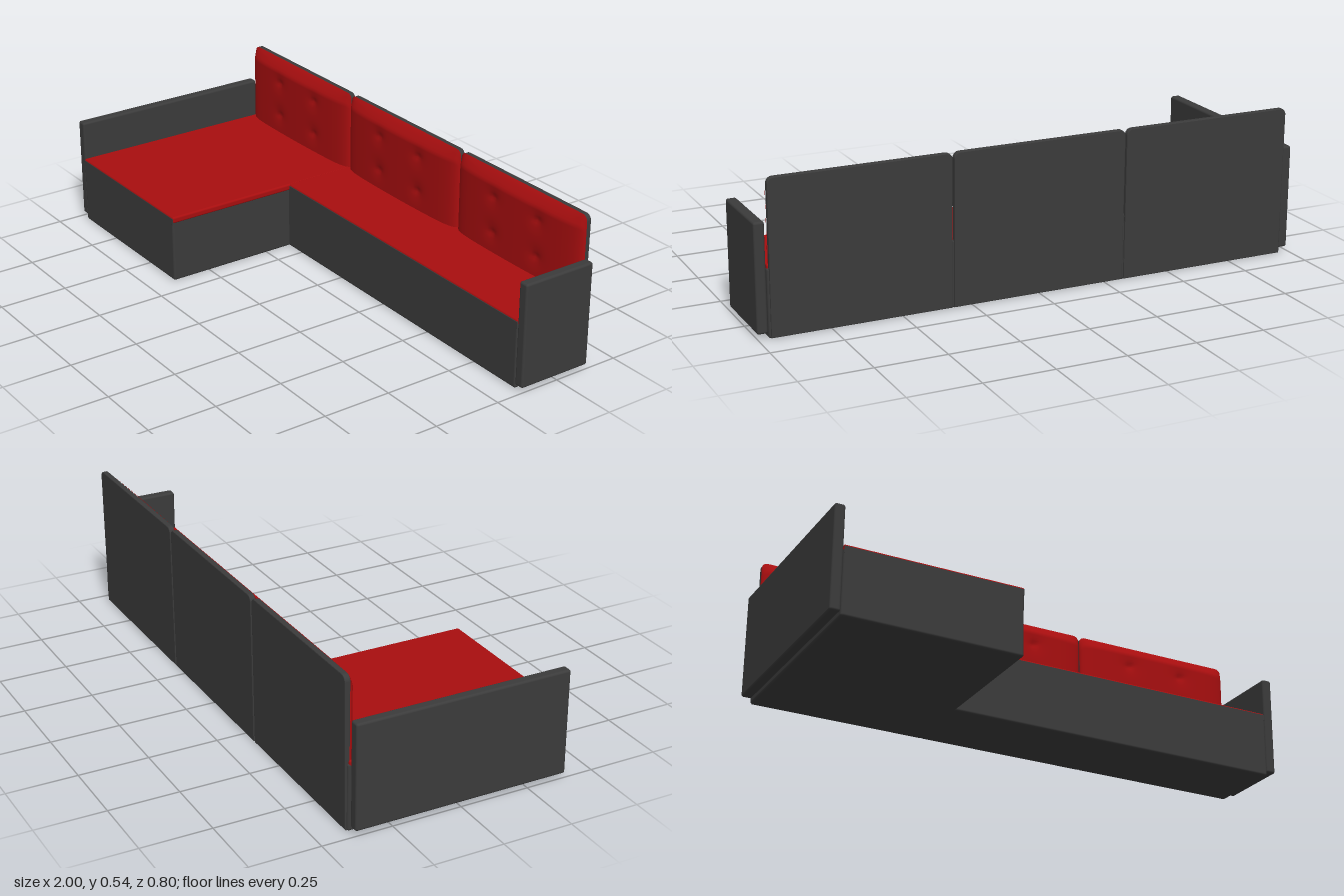
import * as THREE from 'three';
import { RoundedBoxGeometry } from 'three/addons/geometries/RoundedBoxGeometry.js';

const grey = new THREE.MeshStandardMaterial({ name: 'greyFabric', color: 0x3b3b3b });
const red = new THREE.MeshStandardMaterial({ name: 'redFabric', color: 0xa80e0f });

const PANEL_W = 0.64, BACK_TOP = 0.54, SEAT_TOP = 0.25, CORNER = 0.022;

// Rounded block given by its min and max corners
function block(name, min, max, radius, material) {
  const s = max.map((v, i) => v - min[i]);
  const mesh = new THREE.Mesh(new RoundedBoxGeometry(s[0], s[1], s[2], 3, radius), material);
  mesh.position.set(...max.map((v, i) => (v + min[i]) / 2));
  mesh.name = name;
  return mesh;
}

// Upright back board with rounded top corners
function backBoard() {
  const w = PANEL_W / 2 - 0.003, b = 0.003;
  const x = w - b, top = BACK_TOP - b, r = CORNER - b;
  const s = new THREE.Shape();
  s.moveTo(-x, 0.005);
  s.lineTo(x, 0.005);
  s.lineTo(x, top - r);
  s.absarc(x - r, top - r, r, 0, Math.PI / 2, false);
  s.absarc(-x + r, top - r, r, Math.PI / 2, Math.PI, false);
  s.closePath();
  const g = new THREE.ExtrudeGeometry(s, {
    depth: 0.014, bevelThickness: b, bevelSize: b, bevelSegments: 2, curveSegments: 8,
  });
  g.translate(0, 0, -0.397);
  // the lower part leans in slightly
  const p = g.attributes.position;
  for (let i = 0; i < p.count; i++) {
    if (p.getY(i) < 0.1 && p.getZ(i) < -0.39) p.setZ(i, p.getZ(i) + 0.005);
  }
  g.computeVertexNormals();
  const mesh = new THREE.Mesh(g, grey);
  mesh.name = 'backBoard';
  return mesh;
}

// Padded back cushion: a sheet swollen forwards and pinched at four buttons
function backCushion() {
  const w = PANEL_W - 0.004, bottom = SEAT_TOP - 0.01;
  const g = new THREE.PlaneGeometry(2, 1, 64, 36);
  const p = g.attributes.position;
  const buttons = [];
  for (const bx of [-0.113, 0.113]) for (const by of [0.32, 0.452]) buttons.push([bx, by]);
  for (let i = 0; i < p.count; i++) {
    const u = Math.sin(p.getX(i) * Math.PI / 2); // finer towards the sides
    const x = u * w / 2;
    const cx = Math.max(0, Math.abs(x) - (w / 2 - CORNER));
    const top = BACK_TOP - CORNER + Math.sqrt(Math.max(0, CORNER * CORNER - cx * cx));
    const y = bottom + (p.getY(i) + 0.5) * (top - bottom);
    const side = Math.sqrt(Math.max(0, 1 - Math.pow(Math.abs(u), 10))) * (1 - 0.25 * u * u);
    const crown = Math.pow(Math.min(1, (top - y) / 0.04), 0.8);
    let depth = 0.033 * side * crown;
    for (const [bx, by] of buttons) {
      const d2 = (x - bx) ** 2 + (y - by) ** 2;
      depth -= 0.007 * Math.exp(-d2 / 0.00012) + 0.005 * Math.exp(-d2 / 0.0012);
    }
    p.setXYZ(i, x, y, -0.381 + Math.max(0, depth));
  }
  g.computeVertexNormals();
  const mesh = new THREE.Mesh(g, red);
  mesh.name = 'backCushion';
  return mesh;
}

// Small tufting button
function button(x, y) {
  const mesh = new THREE.Mesh(new THREE.SphereGeometry(0.006, 12, 8), red);
  mesh.scale.z = 0.4;
  mesh.position.set(x, y, -0.361);
  mesh.name = 'button';
  return mesh;
}

export function createModel() {
  const sofa = new THREE.Group();
  sofa.name = 'cornerSofa';

  // Bases: long lounge on the right side, shallow bench beside it
  sofa.add(
    block('chaiseBase', [-0.964, 0, -0.39], [-0.324, 0.238, 0.4], 0.008, grey),
    block('benchBase', [-0.34, 0, -0.39], [0.964, 0.238, -0.1], 0.008, grey),
  );

  // Seats, with a thin grey facing along the front edge
  sofa.add(
    block('chaiseSeat', [-0.964, 0.226, -0.385], [-0.322, SEAT_TOP, 0.399], 0.007, red),
    block('benchSeat', [-0.33, 0.226, -0.385], [0.962, SEAT_TOP, -0.102], 0.007, red),
    block('chaiseFacing', [-0.962, 0.22, 0.396], [-0.325, 0.244, 0.4], 0.001, grey),
    block('benchFacing', [-0.324, 0.22, -0.104], [0.962, 0.244, -0.1], 0.001, grey),
  );

  // Arms, raised a little off the floor
  sofa.add(
    block('rightArm', [-1, 0.015, -0.381], [-0.963, 0.392, 0.396], 0.008, grey),
    block('leftArm', [0.963, 0.015, -0.381], [1, 0.392, -0.1], 0.008, grey),
  );

  // Three matching back sections
  for (let i = -1; i <= 1; i++) {
    const section = new THREE.Group();
    section.name = 'backSection';
    section.add(backBoard(), backCushion());
    for (const x of [-0.113, 0.113]) for (const y of [0.32, 0.452]) section.add(button(x, y));
    section.position.x = i * PANEL_W;
    sofa.add(section);
  }
  return sofa;
}
